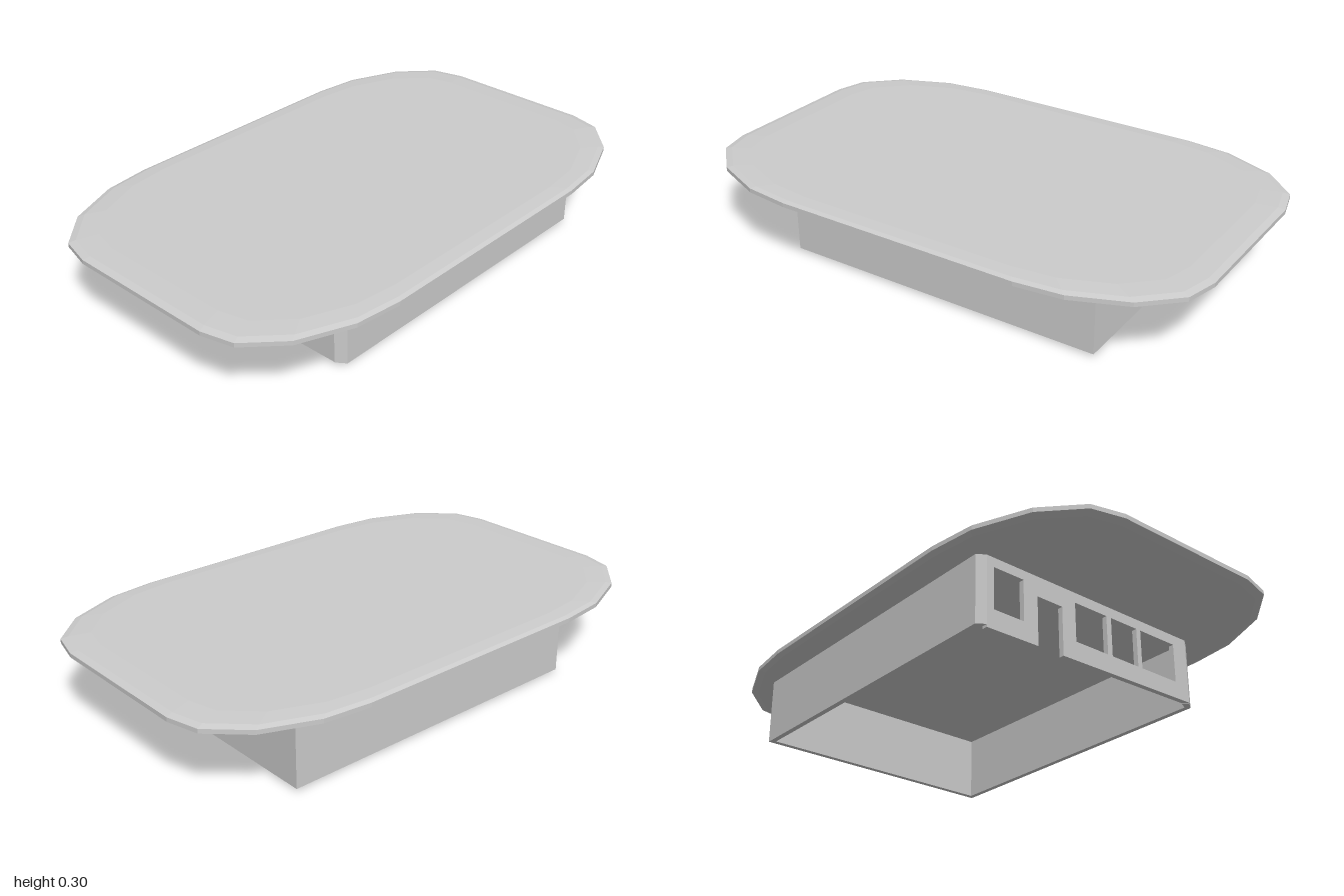
import * as THREE from 'three';

const WALL_TOP = 0.265;

// Closed shape or path from a list of [x, y] pairs
const outline = (pts, Type = THREE.Shape) => new Type(pts.map(([x, y]) => new THREE.Vector2(x, y)));
const rectHole = (x0, x1, y0, y1) => outline([[x0, y0], [x1, y0], [x1, y1], [x0, y1]], THREE.Path);

export function createModel() {
  const group = new THREE.Group();
  const wallMat = new THREE.MeshStandardMaterial({ color: 0xcccccc, side: THREE.DoubleSide });
  const roofMat = new THREE.MeshStandardMaterial({ color: 0xcccccc, flatShading: true });

  const add = (name, geometry, material) => {
    const mesh = new THREE.Mesh(geometry, material);
    mesh.name = name;
    group.add(mesh);
    return mesh;
  };

  // Roof: a thin bevelled slab, a 20-sided lathe pushed out to a rounded rectangle
  const corner = [[0.29, 1], [0.41, 0.97], [0.53, 0.845], [0.61, 0.65], [0.63, 0.475]];
  const flip = (pts, sx, sz) => pts.map(([x, z]) => [x * sx, z * sz]);
  const back = [...corner].reverse();
  const rim = [...corner, ...flip(back, 1, -1), ...flip(corner, -1, -1), ...flip(back, -1, 1)];
  const profile = [[0, 0.26], [0.97, 0.26], [1, 0.269], [1, 0.285], [0.975, 0.291], [0.9, 0.295], [0, 0.297]]
    .map(([r, y]) => new THREE.Vector2(r, y));
  const roof = new THREE.LatheGeometry(profile, rim.length);
  const p = roof.attributes.position;
  for (let i = 0; i < p.count; i++) {
    const k = Math.floor(i / profile.length) % rim.length;
    const r = profile[i % profile.length].x;
    p.setXYZ(i, rim[k][0] * r, p.getY(i), rim[k][1] * r);
  }
  roof.computeVertexNormals();
  add('roof', roof, roofMat);

  // Side and back walls: one U-shaped plan with cut front corners, open underneath
  const plan = outline([
    [0.445, 0.58], [0.48, 0.555], [0.48, -0.69], [-0.52, -0.69], [-0.52, 0.56], [-0.49, 0.58],
    [-0.47, 0.56], [-0.5, 0.545], [-0.5, -0.67], [0.46, -0.67], [0.46, 0.545], [0.425, 0.56],
  ]);
  const sides = new THREE.ExtrudeGeometry(plan, { depth: WALL_TOP - 0.01, bevelEnabled: false });
  sides.rotateX(Math.PI / 2);
  add('sideAndBackWalls', sides, wallMat).position.y = WALL_TOP;

  // Front wall: doorway cut from the lower edge, a small window and a three-pane window
  const front = outline([
    [-0.49, 0], [-0.275, 0.003], [-0.275, 0.185], [-0.165, 0.185], [-0.165, 0.004],
    [0.445, 0.012], [0.445, WALL_TOP], [-0.49, WALL_TOP],
  ]);
  front.holes.push(rectHole(-0.46, -0.335, 0.072, 0.225));
  for (const [x0, x1] of [[-0.105, 0.043], [0.065, 0.19], [0.21, 0.38]]) {
    front.holes.push(rectHole(x0, x1, 0.075, 0.222));
  }
  add('frontWall', new THREE.ExtrudeGeometry(front, { depth: 0.02, bevelEnabled: false }), wallMat).position.z = 0.56;

  return group;
}
